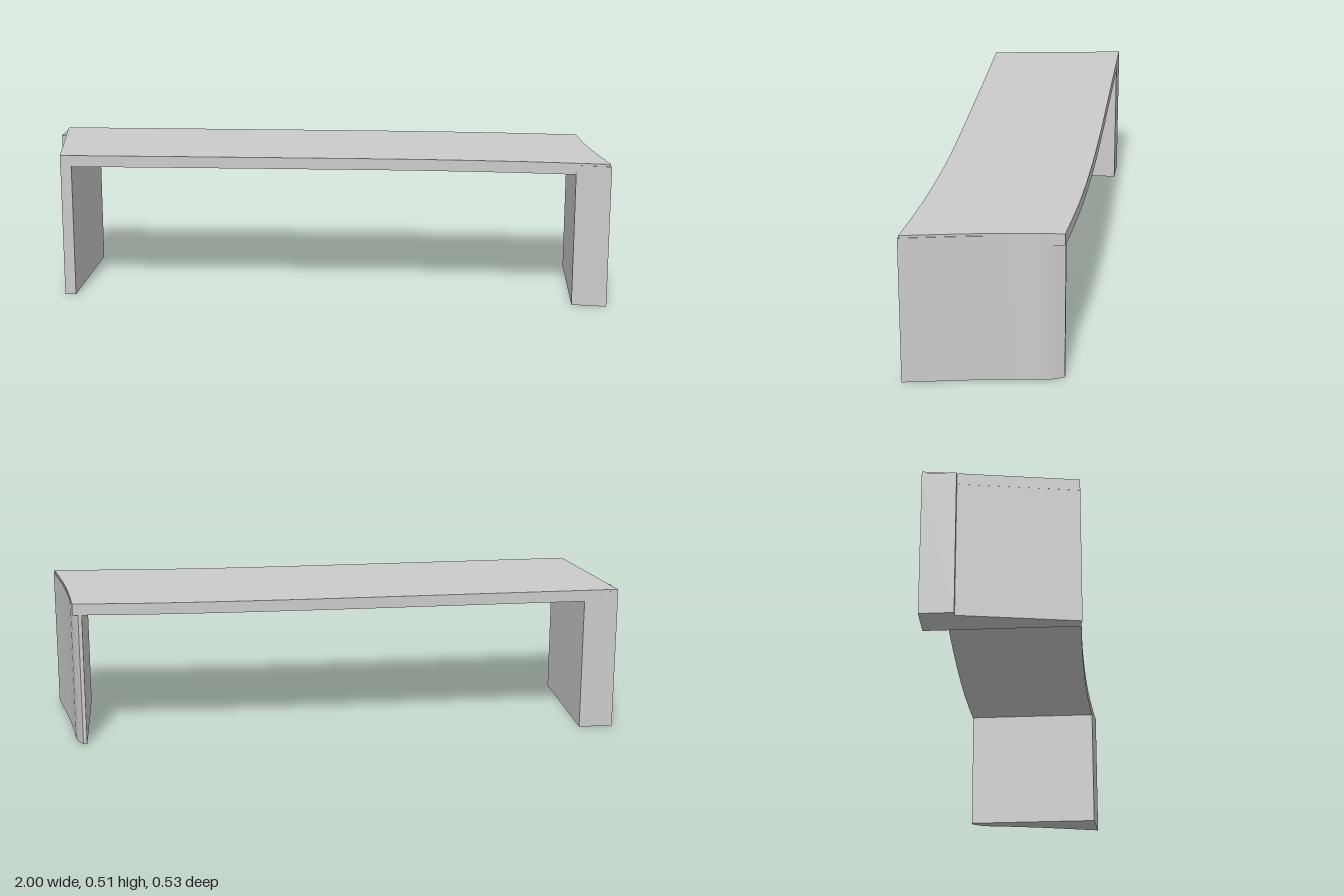
import * as THREE from 'three';
import { toCreasedNormals } from 'three/addons/utils/BufferGeometryUtils.js';

const material = new THREE.MeshStandardMaterial({ color: 0xcccccc });

// Smooth run of plan points [x, z]
function curve(points, divisions = 16) {
  const spline = new THREE.SplineCurve(points.map(([x, z]) => new THREE.Vector2(x, z)));
  return spline.getPoints(divisions).map((p) => [p.x, p.y]);
}

// Raise a plan outline of [x, z] points from y0 to y1
function plate(name, outline, y0, y1) {
  const shape = new THREE.Shape(outline.map(([x, z]) => new THREE.Vector2(x, -z)));
  const geometry = new THREE.ExtrudeGeometry(shape, { depth: y1 - y0, bevelEnabled: false });
  geometry.rotateX(-Math.PI / 2);
  geometry.translate(0, y0, 0);
  const mesh = new THREE.Mesh(toCreasedNormals(geometry, 0.4), material);
  mesh.name = name;
  return mesh;
}

export function createModel() {
  const group = new THREE.Group();
  group.name = 'bench';

  // Seat: gently bowed front and back, concave left end, straight right end
  const back = curve([[-0.999, -0.24], [-0.5, -0.251], [0, -0.262], [0.35, -0.265], [0.65, -0.26], [0.912, -0.245]]);
  const leftEnd = curve([[0.912, -0.245], [0.928, -0.11], [0.953, 0.05], [0.997, 0.262]]);
  const front = curve([[0.997, 0.262], [0.7, 0.24], [0.35, 0.231], [0, 0.236], [-0.5, 0.248], [-0.918, 0.26]]);
  group.add(plate('seat', [...back, ...leftEnd.slice(1), ...front.slice(1)], 0.468, 0.508));

  // Left leg: wedge that follows the curved end and narrows to the back
  const outer = curve([[0.893, -0.245], [0.917, -0.195], [0.931, -0.1], [0.955, 0.05], [1, 0.266]]);
  group.add(plate('leftLeg', [[0.88, -0.245], ...outer, [0.88, 0.2525]], 0, 0.5));

  // Right leg: wedge that widens to the back, with a small step outside
  group.add(plate('rightLeg', [
    [-0.88, 0.256], [-0.905, 0.257], [-0.9175, 0.2605], [-0.981, -0.13], [-1, -0.13],
    [-1, -0.241], [-0.88, -0.241],
  ], 0, 0.5));

  return group;
}
